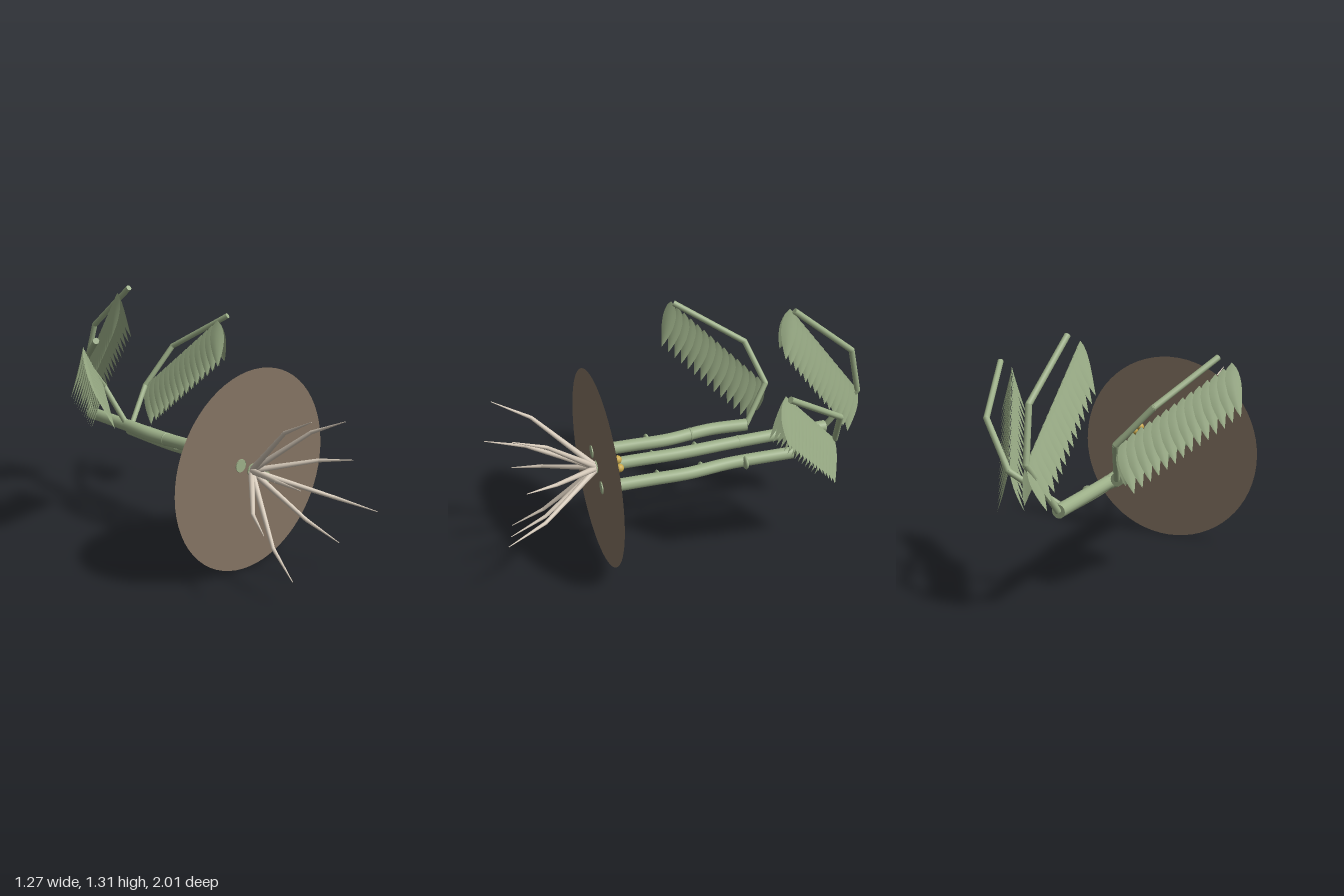
import * as THREE from 'three';

const mat = (name, color, side = THREE.FrontSide) => {
  const m = new THREE.MeshStandardMaterial({ color, side });
  m.name = name;
  return m;
};
const V = (a) => new THREE.Vector3(...a);
const UP = new THREE.Vector3(0, 1, 0);

export function createModel() {
  const model = new THREE.Group();
  model.name = 'plant';
  const green = mat('sageGreen', 0x9caf88, THREE.DoubleSide);
  const brown = mat('soilBrown', 0x857463, THREE.DoubleSide);
  const cream = mat('rootCream', 0xd4c8b8);
  const gold = mat('berryGold', 0xc9a84c);

  const add = (parent, name, geometry, material, pos = [0, 0, 0]) => {
    const mesh = new THREE.Mesh(geometry, material);
    mesh.name = name;
    mesh.position.set(...pos);
    parent.add(mesh);
    return mesh;
  };

  // Chain of straight tapered segments with rounded joints
  const limb = (name, points, radii, material) => {
    const group = new THREE.Group();
    group.name = name;
    for (let i = 0; i < points.length - 1; i++) {
      const a = points[i], b = points[i + 1];
      const dir = b.clone().sub(a);
      const seg = add(group, name + 'Segment',
        new THREE.CylinderGeometry(radii[i + 1], radii[i], dir.length(), 10), material);
      seg.position.copy(a).addScaledVector(dir, 0.5);
      seg.quaternion.setFromUnitVectors(UP, dir.normalize());
      if (i > 0) add(group, name + 'Joint', new THREE.SphereGeometry(radii[i], 10, 8), material, a.toArray());
    }
    model.add(group);
  };

  // Flat soil disc
  add(model, 'soilDisc', new THREE.CircleGeometry(0.527, 64), brown, [0.003, 0.53, 0.465]);

  // Bent leaflet hanging from a point: w runs along the frond, s sideways
  const leaflet = (along, sideways, sign) => {
    const rows = 10, cols = 4, pos = [], index = [];
    for (let i = 0; i <= rows; i++) {
      const t = i / rows;
      const half = 0.041 * Math.pow(Math.sin(Math.PI * Math.pow(t, 0.75)), 0.9) + 0.001;
      for (let j = 0; j <= cols; j++) {
        const u = (j / cols) * 2 - 1;
        const w = u * half + 0.025 * t * t;
        const s = sign * (0.066 * Math.pow(t, 1.5) + 0.008 * (1 - u * u) * Math.sin(Math.PI * t));
        pos.push(along.x * w + sideways.x * s, -0.255 * t, along.z * w + sideways.z * s);
        if (i < rows && j < cols) {
          const a = i * (cols + 1) + j, b = a + cols + 1;
          index.push(a, b, a + 1, b, b + 1, a + 1);
        }
      }
    }
    const g = new THREE.BufferGeometry();
    g.setAttribute('position', new THREE.Float32BufferAttribute(pos, 3));
    g.setIndex(index);
    g.computeVertexNormals();
    return g;
  };

  // Stems: height, [x, z] path, node depths, and the frond stalk points
  const plants = [
    {
      y: 0.58, path: [[-0.085, 0.47], [-0.078, 0.25], [-0.07, 0.06], [-0.1, -0.2], [-0.085, -0.41]],
      nodes: [[-0.1, 0.16], [-0.087, -0.085]],
      stalk: [[-0.14, 0.79, -0.54], [-0.31, 0.975, -0.48], [-0.5, 1.175, -0.13]],
    },
    {
      y: 0.535, path: [[0, 0.47], [0.005, 0.25], [0.013, 0.03], [0.003, -0.3], [0, -0.6], [0, -0.85]],
      nodes: [[0, 0.16], [-0.01, -0.085], [0, -0.33]],
      stalk: [[0.08, 0.78, -0.99], [0.1, 1.04, -0.92], [0.085, 1.305, -0.58]],
    },
    {
      y: 0.467, path: [[0.1, 0.47], [0.108, 0.2], [0.115, 0], [0.092, -0.25], [0.1, -0.61]],
      nodes: [[0.092, 0.16], [0.09, -0.085], [0.115, -0.33]],
      stalk: [[0.33, 0.66, -0.74], [0.49, 0.89, -0.67], [0.615, 1.11, -0.33]],
    },
  ];
  const pairs = 14;
  for (const { y, path, nodes, stalk } of plants) {
    const curve = new THREE.CatmullRomCurve3(path.map(([x, z]) => new THREE.Vector3(x, y, z)));
    add(model, 'stem', new THREE.TubeGeometry(curve, 40, 0.034, 16), green);
    const [x0, z0] = path[0], [x1, z1] = path[path.length - 1];
    add(model, 'stemFrontCap', new THREE.CircleGeometry(0.034, 16), green, [x0, y, z0]);
    add(model, 'stemBackCap', new THREE.CircleGeometry(0.034, 16), green, [x1, y, z1]).rotation.y = Math.PI;
    for (const [x, z] of nodes) {
      add(model, 'stemNode', new THREE.SphereGeometry(0.037, 16, 10), green, [x, y, z]).scale.z = 0.4;
    }

    // Angular stalk arching over the leaflets
    const points = [new THREE.Vector3(x1, y, z1), ...stalk.map(V)];
    limb('frondStalk', points, [0.016, 0.016, 0.016, 0.016], green);

    // Two rows of leaflets below the stalk
    const start = points[1], end = points[3].clone().add(new THREE.Vector3(-0.073, -0.02, -0.01));
    const along = end.clone().sub(start).setY(0).normalize();
    const sideways = new THREE.Vector3(along.z, 0, -along.x);
    const frond = new THREE.Group();
    frond.name = 'frondLeaflets';
    for (const sign of [-1, 1]) {
      const shape = leaflet(along, sideways, sign);
      for (let i = 0; i < pairs; i++) {
        const p = start.clone().lerp(end, 0.08 + 0.92 * i / (pairs - 1));
        add(frond, 'leaflet', shape, green, p.toArray());
      }
    }
    model.add(frond);
  }

  // Tapering, bent roots spreading from the front
  const origin = new THREE.Vector3(0, 0.53, 0.46);
  const tips = [
    [-0.145, 0.935, 0.955], [0.155, 0.86, 0.91], [-0.255, 0.65, 1], [0.275, 0.63, 0.88],
    [-0.335, 0.41, 0.86], [0.33, 0.38, 1], [0.1, 0.27, 0.955], [-0.18, 0.14, 0.91],
  ];
  for (const tip of tips.map(V)) {
    const bend = new THREE.Vector3(
      origin.x + (tip.x - origin.x) * 0.74,
      origin.y + (tip.y - origin.y) * 0.74,
      origin.z + (tip.z - origin.z) * 0.62);
    limb('root', [origin, bend, tip], [0.017, 0.01, 0.002], cream);
  }

  // Ring of berries behind the disc
  for (let i = 0; i < 5; i++) {
    const a = Math.PI / 2 + i * Math.PI * 0.4;
    add(model, 'berry', new THREE.SphereGeometry(0.022, 16, 12), gold,
      [0.152 + 0.04 * Math.cos(a), 0.615 + 0.04 * Math.sin(a), i % 2 ? 0.415 : 0.39]);
  }
  return model;
}
